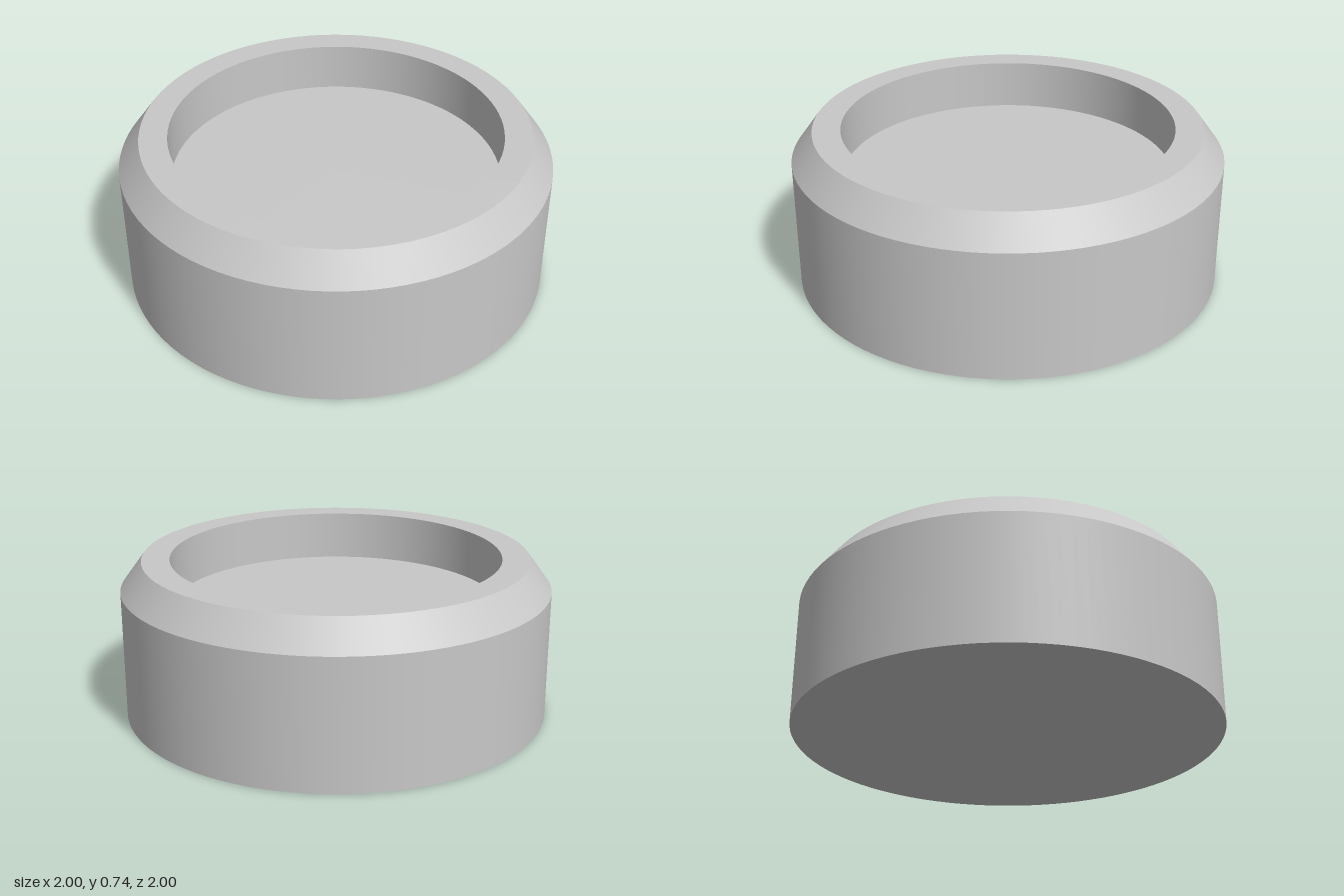
import * as THREE from 'three';

const SEGMENTS = 96;

export function createModel() {
  const group = new THREE.Group();
  group.name = 'recessedCap';
  const grey = new THREE.MeshStandardMaterial({ color: 0xc8c8c8 });
  grey.name = 'light grey';

  // Each surface is turned separately, so the edges between them stay sharp
  const turn = (name, r0, y0, r1, y1) => {
    const profile = [new THREE.Vector2(r0, y0), new THREE.Vector2(r1, y1)];
    const mesh = new THREE.Mesh(new THREE.LatheGeometry(profile, SEGMENTS), grey);
    mesh.name = name;
    group.add(mesh);
  };

  const outerR = 1, rimR = 0.9, recessR = 0.77;
  const shoulderY = 0.6, topY = 0.735, floorY = 0.5;

  // Profile runs from the base centre, up the outside, then down into the recess
  turn('base', 0, 0, outerR, 0);
  turn('outerWall', outerR, 0, outerR, shoulderY);
  turn('chamfer', outerR, shoulderY, rimR, topY);
  turn('rim', rimR, topY, recessR, topY);
  turn('recessWall', recessR, topY, recessR, floorY);
  turn('recessFloor', recessR, floorY, 0, floorY);

  return group;
}
